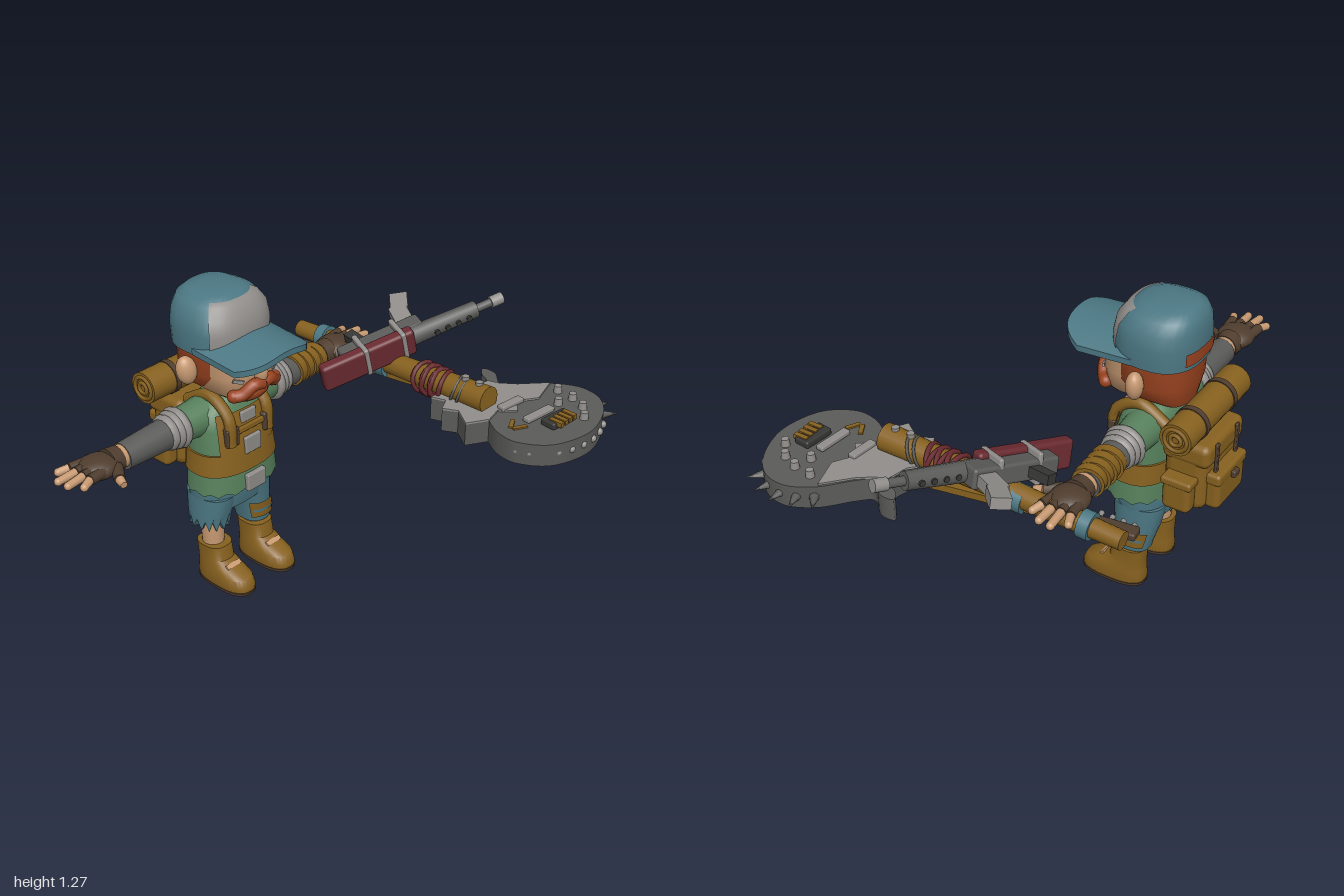
import * as THREE from 'three';
import { toCreasedNormals } from 'three/addons/utils/BufferGeometryUtils.js';
import { RoundedBoxGeometry } from 'three/addons/geometries/RoundedBoxGeometry.js';

const V = (a) => new THREE.Vector3(...a);
const M = {};
for (const [name, color] of Object.entries({
  ochre: 0x87611f, teal: 0x4c7884, skin: 0xc89a72, auburn: 0x9c4420, green: 0x57805c,
  paleGrey: 0x918e8b, steel: 0x5b5c5a, brown: 0x503e2f, darkRed: 0x6a2a30, charcoal: 0x373736,
})) { M[name] = new THREE.MeshStandardMaterial({ color }); M[name].name = name; }

function add(parent, name, geo, mat, pos = [0, 0, 0], rot = [0, 0, 0], scale = [1, 1, 1]) {
  const m = new THREE.Mesh(geo, mat);
  m.name = name;
  m.position.set(...pos); m.rotation.set(...rot); m.scale.set(...scale);
  parent.add(m);
  return m;
}
function group(parent, name) {
  const g = new THREE.Group();
  g.name = name; parent.add(g);
  return g;
}
const box = (w, h, d) => new THREE.BoxGeometry(w, h, d);
const rbox = (w, h, d, r = 0.02) => new RoundedBoxGeometry(w, h, d, 2, r);
const ball = (p, name, mat, pos, size, rot) =>
  add(p, name, new THREE.SphereGeometry(1, 18, 12), mat, pos, rot, size);

// Tapered cylinder from a to b
function rod(p, name, mat, a, b, r1, r2 = r1, seg = 16) {
  const A = V(a), B = V(b), d = B.clone().sub(A);
  const m = add(p, name, new THREE.CylinderGeometry(r2, r1, d.length(), seg), mat);
  m.position.copy(A.add(B).multiplyScalar(0.5));
  m.quaternion.setFromUnitVectors(new THREE.Vector3(0, 1, 0), d.normalize());
  return m;
}

// Skin over stacked superellipses [y, rx, rz, cx, cz, jag]; an angle range gives an open shell
function loft(rows, { p = 2.4, seg = 28, a0 = 0, a1 = Math.PI * 2, grow = 0, crease = 0.75 } = {}) {
  const pos = [], idx = [], w = seg + 1;
  const pw = (v) => Math.sign(v) * Math.abs(v) ** (2 / p);
  for (const [y, rx, rz, cx = 0, cz = 0, jag = 0] of rows)
    for (let j = 0; j < w; j++) {
      const a = a0 + (a1 - a0) * j / seg;
      pos.push(cx + (rx + grow) * pw(Math.sin(a)), y + (j % 2 ? jag : 0), cz + (rz + grow) * pw(Math.cos(a)));
    }
  for (let i = 0; i < rows.length - 1; i++)
    for (let j = 0; j < seg; j++) {
      const k = i * w + j;
      idx.push(k, k + 1, k + w + 1, k, k + w + 1, k + w);
    }
  if (a1 - a0 > 6.28) for (const i of [0, rows.length - 1]) {
    const [y, , , cx = 0, cz = 0] = rows[i], c = pos.length / 3;
    pos.push(cx, y, cz);
    for (let j = 0; j < seg; j++) {
      const k = i * w + j;
      i ? idx.push(c, k, k + 1) : idx.push(c, k + 1, k);
    }
  }
  const g = new THREE.BufferGeometry();
  g.setAttribute('position', new THREE.Float32BufferAttribute(pos, 3));
  g.setIndex(idx);
  return toCreasedNormals(g, crease);
}

function buildHead(c) {
  const h = group(c, 'head');
  rod(h, 'neck', M.skin, [0, 0.78, 0], [0, 0.95, 0], 0.075);
  add(h, 'face', loft([[0.86, 0.09, 0.1, 0, 0.06], [0.89, 0.13, 0.14, 0, 0.045], [0.97, 0.148, 0.157, 0, 0.04], [1.1, 0.15, 0.157, 0, 0.04]], { p: 2.8 }), M.skin);
  add(h, 'hair', loft([[0.87, 0.1, 0.07, 0, -0.08], [0.9, 0.14, 0.125, 0, -0.03], [0.96, 0.162, 0.158, 0, -0.01], [1.08, 0.168, 0.16, 0, -0.01]], { p: 2.5 }), M.auburn);
  ball(h, 'beard', M.auburn, [0, 0.885, 0.115], [0.105, 0.05, 0.085]);
  ball(h, 'nose', M.skin, [0, 0.985, 0.2], [0.028, 0.055, 0.035]);
  for (const s of [-1, 1]) {
    const tash = new THREE.CatmullRomCurve3([[0, 0.935, 0.212], [0.04, 0.94, 0.208], [0.085, 0.905, 0.185], [0.11, 0.9, 0.165]].map(([x, y, z]) => V([s * x, y, z])));
    add(h, 'moustache', new THREE.TubeGeometry(tash, 12, 0.026, 8), M.auburn);
    ball(h, 'moustacheTip', M.auburn, [s * 0.11, 0.9, 0.165], [0.026, 0.026, 0.026]);
    ball(h, 'ear', M.skin, [s * 0.192, 0.985, -0.005], [0.042, 0.062, 0.035], [0, s * 0.3, s * -0.2]);
    ball(h, 'eye', M.teal, [s * 0.062, 1.008, 0.188], [0.028, 0.02, 0.01]);
    add(h, 'eyebrow', rbox(0.085, 0.026, 0.03, 0.01), M.auburn, [s * 0.075, 1.043, 0.19], [0, s * 0.25, s * -0.12]);
    add(h, 'cheekSmudge', box(0.045, 0.014, 0.008), M.paleGrey, [s * 0.098, 0.965, 0.181], [0, s * 0.45, s * 0.3]);
  }
  // Cap
  const cap = group(h, 'cap');
  const rows = [[1.055, 0.18, 0.168, 0, -0.017], [1.14, 0.185, 0.17, 0, -0.017], [1.2, 0.175, 0.162, 0, -0.02], [1.245, 0.145, 0.14, 0, -0.03], [1.268, 0.1, 0.105, 0, -0.04], [1.275, 0.04, 0.05, 0, -0.045]];
  add(cap, 'capCrown', loft(rows, { p: 2.5 }), M.teal);
  add(cap, 'capFrontPanel', loft([[1.09, 0.182, 0.168, 0, -0.017], ...rows.slice(1, 4), [1.257, 0.12, 0.122, 0, -0.035]], { p: 2.5, a0: -0.95, a1: 0.95, grow: 0.005, seg: 16 }), M.paleGrey);
  add(cap, 'capBackOpening', loft([[1.075, 0.181, 0.168, 0, -0.017], [1.13, 0.184, 0.17, 0, -0.017]], { p: 2.5, a0: Math.PI - 0.55, a1: Math.PI + 0.55, grow: 0.005, seg: 10 }), M.auburn);
  const brim = new THREE.BoxGeometry(2, 1, 1, 18, 1, 8), q = brim.attributes.position;
  for (let i = 0; i < q.count; i++) {
    const u = q.getX(i), v = q.getZ(i) + 0.5;
    const back = 0.02 + 0.06 * (1 - u * u), front = 0.35 - 0.1 * Math.abs(u) ** 4;
    q.setXYZ(i, u * 0.182, 1.125 - 0.055 * u * u - 0.015 * v + q.getY(i) * 0.025, back + (front - back) * v);
  }
  add(cap, 'capBrim', toCreasedNormals(brim, 0.7), M.teal);
}

function buildBody(c) {
  const t = group(c, 'torso');
  const rows = [[0.435, 0.2, 0.135, 0, 0.022, 0.015], [0.53, 0.192, 0.13, 0, 0.02], [0.62, 0.182, 0.125, 0, 0.015], [0.72, 0.18, 0.118, 0, 0.008], [0.79, 0.172, 0.105, 0, 0], [0.825, 0.12, 0.085], [0.845, 0.08, 0.07]];
  add(t, 'vest', loft(rows), M.green);
  add(t, 'waistBand', loft(rows.slice(1, 3), { grow: 0.008 }), M.ochre);
  add(t, 'chestPanel', loft(rows.slice(2, 5), { a0: -0.8, a1: 0.8, grow: 0.01, seg: 12 }), M.ochre);
  add(t, 'chestPlate', rbox(0.085, 0.075, 0.02, 0.006), M.paleGrey, [0, 0.64, 0.145]);
  add(t, 'chestStrap', rbox(0.16, 0.025, 0.016, 0.005), M.ochre, [0, 0.715, 0.137]);
  add(t, 'collarPlate', rbox(0.08, 0.05, 0.016, 0.006), M.paleGrey, [0, 0.76, 0.125]);
  add(t, 'beltBuckle', rbox(0.1, 0.075, 0.025, 0.006), M.paleGrey, [0, 0.475, 0.158]);
  for (const s of [-1, 1]) {
    add(t, 'chestPouch', rbox(0.06, 0.08, 0.035, 0.008), M.brown, [s * 0.095, 0.7, 0.128], [0, s * 0.15, 0]);
    const path = new THREE.CatmullRomCurve3([[0.1, 0.66, 0.13], [0.1, 0.78, 0.12], [0.1, 0.845, 0.02], [0.1, 0.78, -0.11]].map(([x, y, z]) => V([s * x, y, z])));
    add(t, 'shoulderStrap', new THREE.TubeGeometry(path, 16, 0.024, 8), M.ochre);
  }
  // Shorts, legs and boots
  const l = group(c, 'legs');
  add(l, 'shortsHips', loft([[0.34, 0.17, 0.1], [0.4, 0.18, 0.112], [0.46, 0.178, 0.112]]), M.teal);
  add(l, 'shortsLeftLeg', loft([[0.19, 0.062, 0.075, 0.117, 0.012], [0.22, 0.066, 0.08, 0.116, 0.01], [0.31, 0.073, 0.095, 0.108], [0.4, 0.085, 0.108, 0.093]]), M.teal);
  add(l, 'shortsRightLeg', loft([[0.25, 0.07, 0.085, -0.113, 0, 0.045], [0.32, 0.075, 0.095, -0.108], [0.4, 0.085, 0.108, -0.093]]), M.teal);
  add(l, 'shortsPatch', loft([[0.215, 0.067, 0.08, 0.116, 0.01], [0.29, 0.072, 0.093, 0.109, 0.002]], { a0: -0.9, a1: 2.4, grow: 0.006, seg: 14 }), M.ochre);
  add(l, 'patchStitch', loft([[0.245, 0.069, 0.085, 0.113, 0.007], [0.257, 0.07, 0.087, 0.112, 0.006]], { a0: -0.7, a1: 2.2, grow: 0.009, seg: 14 }), M.teal);
  for (const s of [-1, 1]) {
    const x = s * 0.115;
    rod(l, 'shin', M.skin, [x, 0.15, 0.02], [x, 0.33, 0.015], 0.045, 0.052);
    add(l, 'boot', loft([[0, 0.066, 0.136, x, 0.093], [0.03, 0.07, 0.14, x, 0.092], [0.065, 0.067, 0.13, x, 0.086], [0.09, 0.062, 0.1, x, 0.058], [0.115, 0.058, 0.075, x, 0.033], [0.175, 0.06, 0.07, x, 0.025]], { p: 2.6 }), M.ochre);
    add(l, 'bootTongue', box(0.075, 0.02, 0.008), M.skin, [x, 0.1, 0.134], [-0.9, 0, 0]);
    add(l, 'bootSole', loft([[0, 0.068, 0.139, x, 0.093], [0.014, 0.07, 0.142, x, 0.093]], { p: 2.6 }), M.brown);
  }
}

// One arm pointing along +x; the other is mirrored
function buildArm(c, name, side) {
  const a = group(c, name);
  a.position.set(0, 0.755, -0.01);
  a.scale.x = side;
  rod(a, 'shoulder', M.green, [0.12, 0, 0], [0.25, 0, 0], 0.08, 0.068);
  for (const [x, r] of [[0.255, 0.078], [0.28, 0.072], [0.308, 0.066]])
    add(a, 'sleeveRoll', new THREE.TorusGeometry(r - 0.012, 0.021, 8, 22), M.paleGrey, [x, 0, 0], [0, Math.PI / 2, 0]);
  rod(a, 'sleeve', M.steel, [0.24, 0, 0], [0.53, -0.005, 0], 0.067, 0.055);
  rod(a, 'wrist', M.skin, [0.52, 0, 0], [0.56, 0, 0], 0.047);
  rod(a, 'gloveCuff', M.brown, [0.55, 0, 0], [0.6, 0, 0], 0.05, 0.056);
  ball(a, 'palm', M.brown, [0.645, 0.005, 0], [0.085, 0.042, 0.078]);
  for (const [z, x2, z2] of [[-0.05, 0.79, -0.075], [-0.018, 0.83, -0.025], [0.018, 0.825, 0.025], [0.05, 0.79, 0.075]]) {
    const mid = 0.735, mz = z + (z2 - z) * 0.4;
    rod(a, 'gloveFinger', M.brown, [0.66, 0.01, z], [mid, 0.012, mz], 0.022, 0.021, 10);
    rod(a, 'finger', M.skin, [mid, 0.012, mz], [x2 - 0.015, 0.006, z2], 0.018, 0.016, 10);
    ball(a, 'fingertip', M.skin, [x2 - 0.016, 0.006, z2], [0.016, 0.016, 0.016]);
  }
  rod(a, 'gloveThumb', M.brown, [0.6, 0, 0.05], [0.64, -0.005, 0.115], 0.026, 0.022, 10);
  rod(a, 'thumb', M.skin, [0.64, -0.005, 0.115], [0.65, -0.01, 0.15], 0.019, 0.014, 10);
  if (side > 0) for (let i = 0; i < 4; i++)
    rod(a, 'armWrap', M.ochre, [0.365 + i * 0.042, 0, 0.004], [0.402 + i * 0.042, 0, -0.004], 0.07 - i * 0.002);
}

function buildPack(c) {
  const b = group(c, 'backpack');
  add(b, 'packBody', rbox(0.29, 0.31, 0.18, 0.045), M.ochre, [0, 0.62, -0.2]);
  add(b, 'packFlap', rbox(0.3, 0.1, 0.2, 0.03), M.ochre, [0, 0.725, -0.205]);
  add(b, 'frontPocket', rbox(0.22, 0.15, 0.07, 0.025), M.ochre, [0, 0.555, -0.305]);
  add(b, 'pocketFlap', rbox(0.23, 0.05, 0.08, 0.015), M.ochre, [0, 0.62, -0.303]);
  for (const s of [-1, 1]) {
    add(b, 'sidePocket', rbox(0.07, 0.14, 0.12, 0.025), M.ochre, [s * 0.168, 0.555, -0.2]);
    add(b, 'sidePocketFlap', rbox(0.076, 0.035, 0.13, 0.012), M.ochre, [s * 0.168, 0.615, -0.2]);
    add(b, 'packStrap', rbox(0.022, 0.16, 0.012, 0.004), M.brown, [s * 0.08, 0.69, -0.307]);
    // Rolled ends of the bedroll
    for (const r of [0.022, 0.046])
      add(b, 'bedrollSpiral', new THREE.TorusGeometry(r, 0.009, 6, 20), M.ochre, [s * 0.24, 0.845, -0.21], [0, Math.PI / 2, 0]);
    add(b, 'bedrollStrap', new THREE.CylinderGeometry(0.07, 0.07, 0.025, 22), M.brown, [s * 0.11, 0.845, -0.21], [0, 0, Math.PI / 2]);
  }
  add(b, 'bedroll', new THREE.CylinderGeometry(0.066, 0.066, 0.48, 22), M.ochre, [0, 0.845, -0.21], [0, 0, Math.PI / 2]);
  add(b, 'packBuckle', rbox(0.04, 0.03, 0.02, 0.006), M.brown, [0, 0.605, -0.35]);
}

function buildGun(root) {
  const g = group(root, 'rifle');
  const x = V([0.75, 0.195, 0.33]).normalize(), y = V([-0.35, -0.1, 0.93]);
  y.addScaledVector(x, -x.dot(y)).normalize();
  g.quaternion.setFromRotationMatrix(new THREE.Matrix4().makeBasis(x, y, x.clone().cross(y)));
  g.position.set(0.24, 0.76, -0.27);
  add(g, 'redStock', rbox(0.42, 0.055, 0.12, 0.015), M.darkRed, [0.21, 0.015, 0]);
  add(g, 'receiver', rbox(0.37, 0.08, 0.08, 0.012), M.steel, [0.3, -0.045, 0]);
  for (const t of [0.2, 0.37]) add(g, 'stockClamp', rbox(0.022, 0.13, 0.13, 0.008), M.paleGrey, [t, -0.02, 0]);
  rod(g, 'barrelShroud', M.steel, [0.4, -0.005, 0], [0.72, 0, 0], 0.042, 0.036, 10);
  for (let i = 0; i < 4; i++) rod(g, 'ventHole', M.charcoal, [0.52 + i * 0.05, -0.045, 0], [0.52 + i * 0.05, 0.045, 0], 0.012, 0.012, 8);
  rod(g, 'muzzle', M.steel, [0.7, 0, 0], [0.8, 0, 0], 0.018);
  rod(g, 'muzzleTip', M.paleGrey, [0.79, 0, 0], [0.845, 0, 0], 0.025);
  add(g, 'magazineTop', box(0.075, 0.13, 0.045), M.paleGrey, [0.44, -0.13, 0], [0, 0, 0.15]);
  add(g, 'magazineEnd', box(0.075, 0.1, 0.045), M.paleGrey, [0.475, -0.225, 0], [0, 0, 0.42]);
  add(g, 'grip', box(0.045, 0.1, 0.04), M.charcoal, [0.22, -0.12, 0], [0, 0, -0.25]);
}

function buildGuitar(root) {
  const g = group(root, 'guitarAxe');
  const P = (list) => list.map(([x, z]) => new THREE.Vector2(x, z));
  const torn = [[0.56, 0.15], [0.45, 0.14], [0.47, 0.2], [0.41, 0.23], [0.44, 0.29], [0.385, 0.37], [0.47, 0.42]];
  const plate = (s, h) => new THREE.ExtrudeGeometry(s, { depth: h, bevelEnabled: false, curveSegments: 8 }).rotateX(Math.PI / 2);
  const s = new THREE.Shape(P(torn));
  s.splineThru(P([[0.425, 0.5], [0.42, 0.6], [0.5, 0.71], [0.66, 0.757], [0.81, 0.72], [0.91, 0.64], [0.935, 0.53], [0.88, 0.42], [0.78, 0.33], [0.735, 0.27], [0.79, 0.2], [0.79, 0.14], [0.75, 0.16], [0.71, 0.215], [0.62, 0.2]]));
  s.closePath();
  add(g, 'guitarBody', toCreasedNormals(plate(s, 0.095), 0.6), M.steel, [0, 0.73, 0]);
  const top = new THREE.Shape(P([...torn, [0.55, 0.4], [0.6, 0.46], [0.66, 0.41], [0.74, 0.46], [0.87, 0.42], [0.77, 0.33], [0.725, 0.27], [0.71, 0.225], [0.62, 0.205]]));
  add(g, 'tornTopPlate', plate(top, 0.008), M.paleGrey, [0, 0.738, 0]);
  // Pickups, bridge and knobs
  for (const [x, z, w] of [[0.62, 0.41, 0.12], [0.63, 0.54, 0.15]]) add(g, 'pickup', rbox(w, 0.02, 0.035, 0.005), M.paleGrey, [x, 0.742, z], [0, -0.1, 0]);
  add(g, 'bridge', rbox(0.13, 0.03, 0.07, 0.008), M.charcoal, [0.65, 0.742, 0.62], [0, -0.1, 0]);
  for (let i = 0; i < 4; i++) add(g, 'bridgeSaddle', box(0.02, 0.02, 0.06), M.ochre, [0.61 + i * 0.028, 0.752, 0.64]);
  for (const [z, a] of [[0.5, 0.5], [0.54, -0.5]]) add(g, 'rustMark', box(0.06, 0.008, 0.018), M.ochre, [0.51, 0.733, z], [0, a, 0]);
  for (const [x, z] of [[0.76, 0.54], [0.83, 0.56], [0.84, 0.48], [0.8, 0.63], [0.74, 0.68]]) rod(g, 'knob', M.paleGrey, [x, 0.73, z], [x, 0.76, z], 0.018, 0.015);
  // Spikes and studs around the rim
  const centre = [0.68, 0.54];
  for (let i = 0; i < 5; i++) {
    const a = -0.55 + i * 0.3, dx = Math.cos(a), dz = Math.sin(a);
    rod(g, 'spike', M.steel, [centre[0] + dx * 0.23, 0.685, centre[1] + dz * 0.2], [centre[0] + dx * 0.315, 0.685, centre[1] + dz * 0.29], 0.022, 0.001, 8);
  }
  for (let i = 0; i < 9; i++) {
    const a = 1.0 + i * 0.24;
    ball(g, 'stud', M.paleGrey, [centre[0] + Math.cos(a) * 0.255, 0.685, centre[1] + Math.sin(a) * 0.212], [0.016, 0.016, 0.016]);
  }
  // Wooden club lashed over the guitar neck
  rod(g, 'club', M.ochre, [0.54, 0.772, 0.36], [0.54, 0.725, -0.67], 0.056, 0.036);
  for (const z of [0.31, 0.24]) rod(g, 'clubBolt', M.paleGrey, [0.54, 0.8, z], [0.54, 0.835, z], 0.015);
  for (let i = 0; i < 6; i++)
    add(g, 'redLashing', new THREE.TorusGeometry(0.062, 0.01, 6, 18), M.darkRed, [0.54, 0.752, 0.03 + i * 0.022], [i % 2 ? 0.15 : -0.15, i % 2 ? 0.2 : -0.2, 0]);
  for (const z of [0.2, 0.23]) add(g, 'wire', new THREE.TorusGeometry(0.058, 0.006, 6, 18), M.steel, [0.54, 0.763, z], [0.3, 0.3, 0]);
  for (const z of [-0.16, -0.22, -0.5]) rod(g, 'tealWrap', M.teal, [0.54, 0.735, z], [0.538, 0.731, z - 0.045], 0.054);
  const neck = add(g, 'guitarNeck', box(0.05, 0.03, 0.76), M.ochre, [0.55, 0.7, -0.13]);
  neck.rotation.y = 0.18;
  add(g, 'headstock', rbox(0.06, 0.03, 0.2, 0.008), M.brown, [0.468, 0.7, -0.58], [0, 0.12, 0]);
  for (let i = 0; i < 4; i++) rod(g, 'tuner', M.paleGrey, [0.45, 0.7, -0.65 + i * 0.045], [0.415, 0.7, -0.645 + i * 0.045], 0.008, 0.011, 8);
}

export function createModel() {
  const root = new THREE.Group();
  root.name = 'scavenger';
  const c = group(root, 'figure');
  c.position.set(-0.17, 0, -0.4);
  buildHead(c);
  buildBody(c);
  buildArm(c, 'leftArm', 1);
  buildArm(c, 'rightArm', -1);
  buildPack(c);
  buildGun(root);
  buildGuitar(root);
  return root;
}
